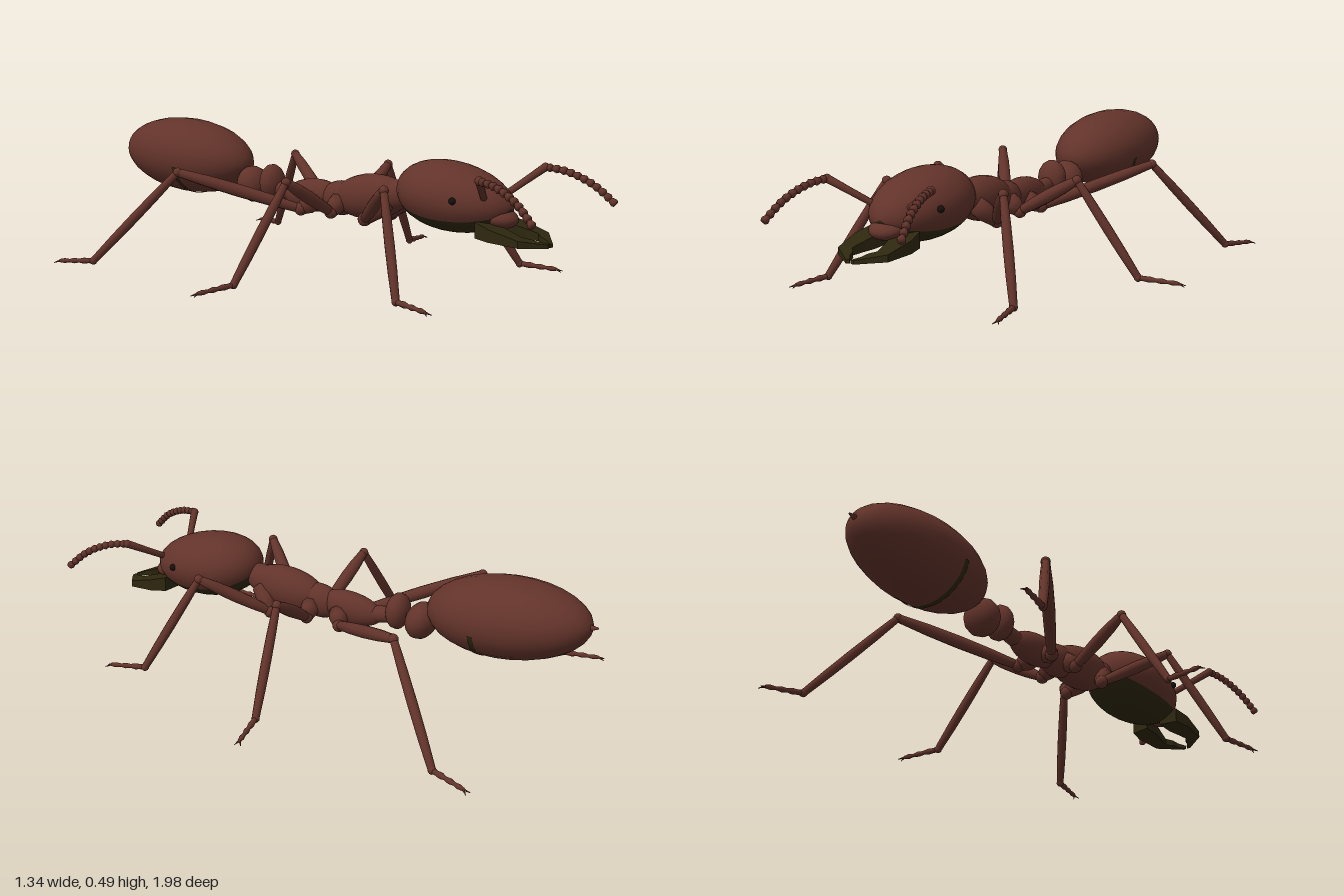
import * as THREE from 'three';
import { mergeVertices } from 'three/addons/utils/BufferGeometryUtils.js';

const V = (x, y, z) => new THREE.Vector3(x, y, z);

export function createModel() {
  const brown = new THREE.MeshStandardMaterial({ color: 0x62332a });
  const olive = new THREE.MeshStandardMaterial({ color: 0x2e270f });
  const black = new THREE.MeshStandardMaterial({ color: 0x17100e });
  brown.name = 'reddish brown';
  olive.name = 'dark olive';
  black.name = 'eye black';

  const root = new THREE.Group();
  root.name = 'ant';

  function add(parent, name, geometry, material = brown) {
    const mesh = new THREE.Mesh(geometry, material);
    mesh.name = name;
    parent.add(mesh);
    return mesh;
  }

  // Egg lying along z from back [z, y] to front [z, y]; skew moves the widest place
  function egg(back, front, rx, ry, skew = 0, phi = [0, Math.PI * 2], theta = [0, Math.PI], segs = 24) {
    let g = new THREE.SphereGeometry(1, segs, 16, phi[0], phi[1], theta[0], theta[1]);
    g.rotateX(Math.PI / 2);
    const p = g.attributes.position;
    for (let i = 0; i < p.count; i++) {
      const z = p.getZ(i);
      const t = (z + skew * (1 - z * z) + 1) / 2;
      p.setXYZ(i, p.getX(i) * rx,
        p.getY(i) * ry + back[1] + (front[1] - back[1]) * t,
        back[0] + (front[0] - back[0]) * t);
    }
    g.deleteAttribute('uv');
    g.deleteAttribute('normal');
    g = mergeVertices(g, 1e-5);
    g.computeVertexNormals();
    return g;
  }

  // Round limb from a to b with evenly spaced radii
  function limb(parent, name, a, b, radii, material = brown) {
    const dir = b.clone().sub(a);
    const len = dir.length();
    const pts = [new THREE.Vector2(0, 0)];
    radii.forEach((r, i) => pts.push(new THREE.Vector2(r, len * i / (radii.length - 1))));
    pts.push(new THREE.Vector2(0, len));
    const mesh = add(parent, name, new THREE.LatheGeometry(pts, 10), material);
    mesh.position.copy(a);
    mesh.quaternion.setFromUnitVectors(V(0, 1, 0), dir.normalize());
    return mesh;
  }

  function ball(parent, name, at, r, material = brown) {
    const mesh = add(parent, name, new THREE.SphereGeometry(r, 12, 8), material);
    mesh.position.copy(at);
    return mesh;
  }

  // Head: brown dome and dark underside
  const half = 1.0, down = Math.PI / 2;
  const headArgs = [[0.32, 0.325], [0.745, 0.285], 0.147, 0.117, -0.1];
  add(root, 'head', egg(...headArgs, [down + half, Math.PI * 2 - 2 * half]));
  add(root, 'headUnderside', egg(...headArgs, [down - half, 2 * half], [0, Math.PI], 12), olive);
  add(root, 'clypeus', egg([0.65, 0.26], [0.765, 0.245], 0.062, 0.034));

  // Thorax, waist nodes and abdomen
  add(root, 'neck', egg([0.2, 0.27], [0.37, 0.3], 0.05, 0.055));
  add(root, 'foreThorax', egg([0.03, 0.26], [0.335, 0.285], 0.068, 0.08, 0.02));
  add(root, 'midThorax', egg([-0.03, 0.25], [0.14, 0.26], 0.05, 0.062));
  add(root, 'rearThorax', egg([-0.2, 0.245], [0.05, 0.26], 0.047, 0.06, 0.05));
  add(root, 'waistStalk', egg([-0.29, 0.27], [-0.1, 0.24], 0.028, 0.03));
  add(root, 'firstWaistNode', egg([-0.305, 0.285], [-0.222, 0.28], 0.056, 0.066, 0, undefined, undefined, 14));
  add(root, 'secondWaistNode', egg([-0.41, 0.275], [-0.3, 0.26], 0.07, 0.066, 0, undefined, undefined, 14));
  add(root, 'abdomen', egg([-0.968, 0.37], [-0.385, 0.335], 0.162, 0.138, 0.02));
  add(root, 'abdomenBand', egg([-0.968, 0.37], [-0.385, 0.335], 0.1645, 0.14, 0.02,
    [down - 1.4, 2.8], [1.33, 0.07], 12), olive).material.side = THREE.DoubleSide;
  limb(root, 'sting', V(0, 0.375, -0.95), V(0, 0.38, -0.99), [0.014, 0.003]);

  // Leg stations: hip, trochanter, knee, ankle, toe
  const legs = {
    front: [V(0.035, 0.27, 0.28), V(0.08, 0.205, 0.215), V(0.24, 0.342, 0.41), V(0.38, 0.02, 0.56), V(0.41, 0.011, 0.69)],
    middle: [V(0.03, 0.25, 0.07), V(0.075, 0.215, 0.065), V(0.295, 0.342, 0.045), V(0.51, 0.02, -0.005), V(0.65, 0.011, -0.037)],
    hind: [V(0.03, 0.24, -0.04), V(0.075, 0.212, -0.07), V(0.33, 0.34, -0.425), V(0.515, 0.02, -0.67), V(0.557, 0.011, -0.8)],
  };

  for (const side of [1, -1]) {
    const body = new THREE.Group();
    body.name = side > 0 ? 'leftLimbs' : 'rightLimbs';
    body.scale.x = side;
    root.add(body);

    for (const [name, [hip, troch, knee, ankle, toe]] of Object.entries(legs)) {
      const leg = new THREE.Group();
      leg.name = name + 'Leg';
      body.add(leg);
      limb(leg, 'coxa', hip, troch, [0.034, 0.034, 0.022]);
      ball(leg, 'hipJoint', troch, 0.024);
      limb(leg, 'femur', troch, knee, [0.016, 0.021, 0.023, 0.021, 0.015]);
      ball(leg, 'kneeJoint', knee, 0.017);
      limb(leg, 'tibia', knee, ankle, [0.013, 0.016, 0.017, 0.016, 0.013]);
      ball(leg, 'ankleJoint', ankle, 0.014);
      limb(leg, 'foot', ankle, toe, [0.011, 0.009, 0.011, 0.007, 0.01, 0.006, 0.009, 0.006]);
      // Two spread claws
      const ahead = toe.clone().sub(ankle).setY(0).normalize();
      const across = V(ahead.z, 0, -ahead.x);
      for (const s of [1, -1]) {
        const tip = toe.clone().addScaledVector(ahead, 0.02).addScaledVector(across, s * 0.011);
        limb(leg, 'claw', toe, tip.setY(0.004), [0.004, 0.001]);
      }
    }

    // Elbowed antenna with a beaded outer part
    const antenna = new THREE.Group();
    antenna.name = 'antenna';
    body.add(antenna);
    const elbow = V(0.207, 0.4, 0.752);
    limb(antenna, 'scape', V(0.07, 0.32, 0.685), elbow, [0.011, 0.012, 0.014]);
    ball(antenna, 'elbowJoint', elbow, 0.015);
    const path = new THREE.CatmullRomCurve3([elbow, V(0.225, 0.39, 0.82), V(0.248, 0.35, 0.91), V(0.27, 0.288, 0.982)]);
    const beads = 11;
    for (let i = 0; i < beads; i++) {
      limb(antenna, 'bead', path.getPointAt(i / beads), path.getPointAt((i + 1) / beads),
        [0.008, 0.012, 0.0145, 0.011]);
    }

    // Eye
    ball(body, 'eye', V(0.134, 0.313, 0.605), 0.012, black);

    // Jaw blade: bent outline, thinning and dropping toward the tip
    const outline = [[0.03, 0.66], [0.1, 0.67], [0.113, 0.73], [0.1, 0.83], [0.015, 0.893],
      [0.002, 0.89], [0.022, 0.865], [0.03, 0.84], [0.05, 0.82], [0.042, 0.78], [0.03, 0.73]];
    const shape = new THREE.Shape(outline.map(([x, z]) => new THREE.Vector2(x, z)));
    const jaw = new THREE.ExtrudeGeometry(shape, { depth: 1, bevelEnabled: false });
    jaw.rotateX(Math.PI / 2);
    const p = jaw.attributes.position;
    for (let i = 0; i < p.count; i++) {
      const t = (p.getZ(i) - 0.66) / 0.233;
      p.setY(i, 0.25 - 0.065 * t + p.getY(i) * (0.055 - 0.043 * t));
    }
    jaw.computeVertexNormals();
    add(body, 'jaw', jaw, olive);
  }
  return root;
}
